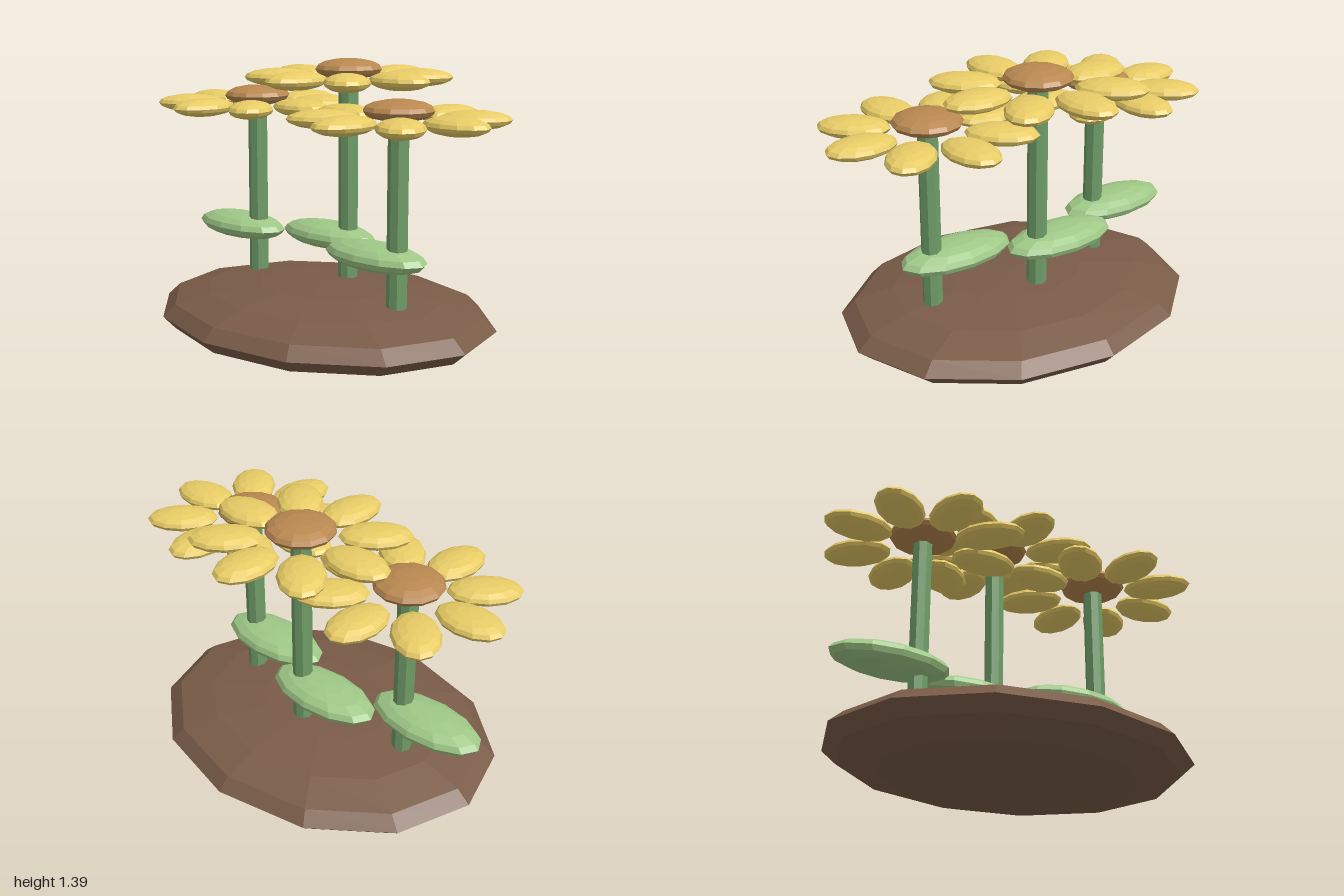
import * as THREE from 'three';

const mat = (color) => new THREE.MeshStandardMaterial({ color, flatShading: true });

export function createModel() {
  const model = new THREE.Group();
  model.name = 'flowerBed';

  const soil = mat(0x7a5c48);
  const stemGreen = mat(0x6f9d68);
  const leafGreen = mat(0x9fc887);
  const yellow = mat(0xe8cc66);
  const brown = mat(0xb98850);

  // Faceted ellipsoid shared by mound, leaves, petals and flower centres
  const ball = new THREE.SphereGeometry(1, 12, 8);
  function ellipsoid(name, material, radii, position) {
    const mesh = new THREE.Mesh(ball, material);
    mesh.name = name;
    mesh.scale.set(...radii);
    mesh.position.set(...position);
    return mesh;
  }

  // Soil mound
  model.add(ellipsoid('mound', soil, [0.912, 0.157, 0.735], [0, 0.157, 0]));

  function flower(name, x, z, headY) {
    const group = new THREE.Group();
    group.name = name;
    group.position.set(x, 0, z);

    // Stem, rooted in the mound
    const base = 0.28;
    const stem = new THREE.Mesh(
      new THREE.CylinderGeometry(0.048, 0.048, headY - base, 8), stemGreen);
    stem.name = 'stem';
    stem.position.y = (headY + base) / 2;
    group.add(stem);

    // Single broad leaf, reaching to one side
    group.add(ellipsoid('leaf', leafGreen, [0.3, 0.066, 0.147], [-0.14, 0.5, 0]));

    // Raised centre and ring of eight petals
    group.add(ellipsoid('flowerCentre', brown, [0.165, 0.05, 0.165], [0, headY + 0.041, 0]));
    for (let i = 0; i < 8; i++) {
      const a = (i / 8) * Math.PI * 2;
      const petal = ellipsoid('petal', yellow, [0.17, 0.044, 0.11],
        [Math.cos(a) * 0.335, headY, -Math.sin(a) * 0.335]);
      petal.rotation.y = a;
      group.add(petal);
    }
    model.add(group);
  }

  flower('rightFlower', -0.495, 0, 1.15);
  flower('middleFlower', 0, -0.165, 1.3);
  flower('leftFlower', 0.495, 0, 1.15);

  return model;
}
